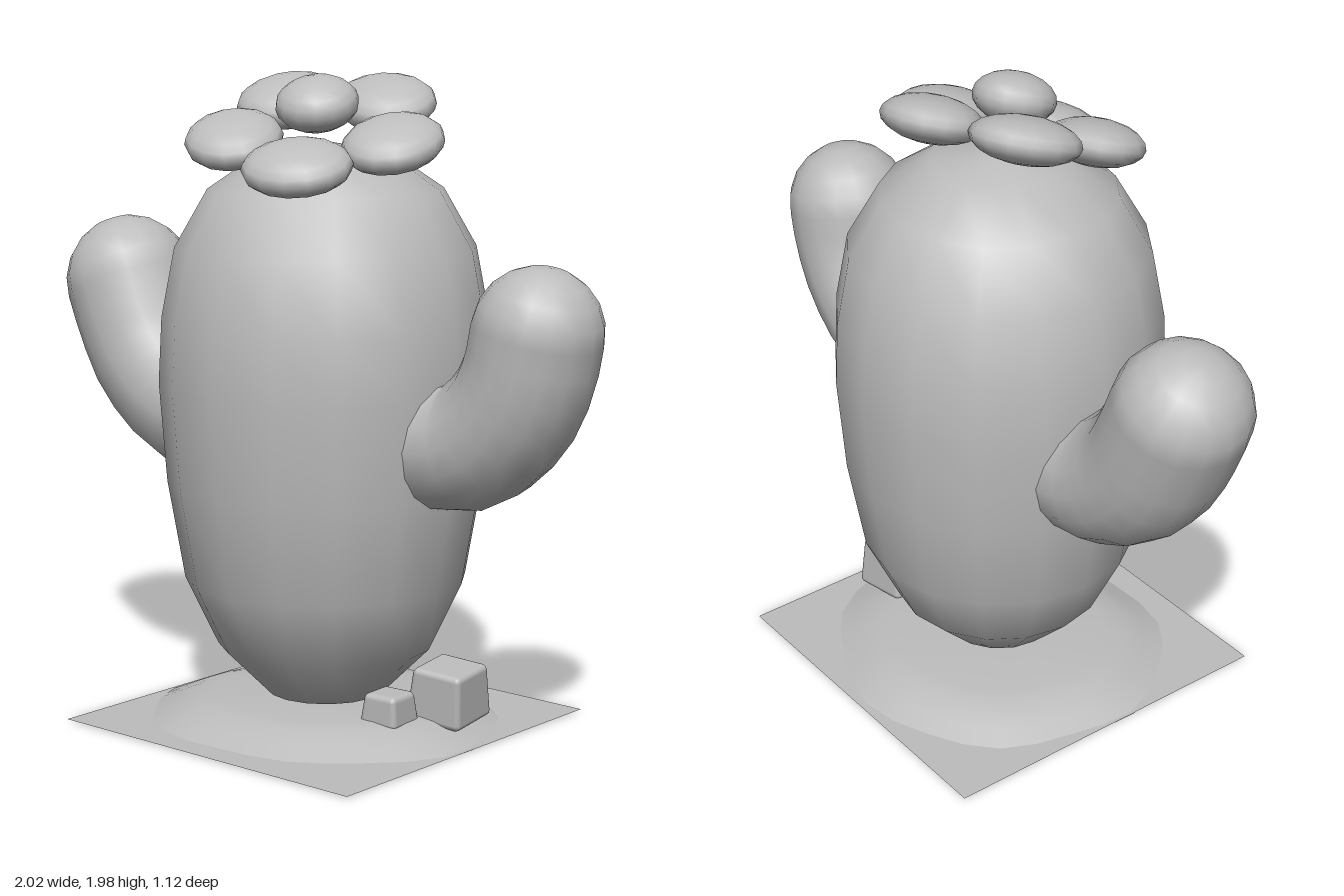
import * as THREE from 'three';
import { toCreasedNormals } from 'three/addons/utils/BufferGeometryUtils.js';
import { RoundedBoxGeometry } from 'three/addons/geometries/RoundedBoxGeometry.js';

const clay = new THREE.MeshStandardMaterial({ color: 0xbcbcbc });
clay.name = 'grey clay';
const clayTwoSided = clay.clone();
clayTwoSided.side = THREE.DoubleSide;

function addMesh(parent, name, geometry, material = clay) {
  const mesh = new THREE.Mesh(geometry, material);
  mesh.name = name;
  parent.add(mesh);
  return mesh;
}

const profile = (pairs) => pairs.map(([x, y]) => new THREE.Vector2(x, y));

// Capsule bent along a centreline in the xy plane
function bentCapsule(points, radius) {
  const curve = new THREE.CatmullRomCurve3(points.map(([x, y]) => new THREE.Vector3(x, y, 0)));
  const length = curve.getLength();
  const geometry = new THREE.CapsuleGeometry(radius, length, 5, 16, 8);
  const pos = geometry.attributes.position;
  const nor = geometry.attributes.normal;
  const v = new THREE.Vector3();
  const n = new THREE.Vector3();
  const front = new THREE.Vector3(0, 0, 1);
  for (let i = 0; i < pos.count; i++) {
    v.fromBufferAttribute(pos, i);
    n.fromBufferAttribute(nor, i);
    const s = THREE.MathUtils.clamp(v.y + length / 2, 0, length);
    const overshoot = v.y + length / 2 - s;
    const tangent = curve.getTangentAt(s / length);
    const side = tangent.clone().cross(front);
    const p = curve.getPointAt(s / length)
      .addScaledVector(side, v.x).addScaledVector(tangent, overshoot).addScaledVector(front, v.z);
    const q = side.multiplyScalar(n.x).addScaledVector(tangent, n.y).addScaledVector(front, n.z);
    pos.setXYZ(i, p.x, p.y, p.z);
    nor.setXYZ(i, q.x, q.y, q.z);
  }
  return geometry;
}

// Rounded block that narrows towards the top
function rock(width, height, depth, taper) {
  const geometry = new RoundedBoxGeometry(width, height, depth, 2, 0.018);
  const pos = geometry.attributes.position;
  for (let i = 0; i < pos.count; i++) {
    const k = 1 - taper * (pos.getY(i) / height + 0.5);
    pos.setX(i, pos.getX(i) * k);
    pos.setZ(i, pos.getZ(i) * k);
  }
  return geometry;
}

// Low mound with an uneven rim
function moundGeometry() {
  const geometry = new THREE.LatheGeometry(profile([
    [0, 0], [0.56, 0], [0.49, 0.03], [0.42, 0.06], [0.35, 0.07], [0, 0.073],
  ]), 28);
  const pos = geometry.attributes.position;
  for (let i = 0; i < pos.count; i++) {
    const x = pos.getX(i);
    const z = pos.getZ(i);
    const a = Math.atan2(z, x);
    const k = 1 + 0.025 * Math.sin(3 * a + 1) + 0.018 * Math.sin(7 * a);
    pos.setX(i, x * k);
    pos.setZ(i, z * k * 0.92);
  }
  return toCreasedNormals(geometry, 0.7);
}

export function createModel() {
  const model = new THREE.Group();
  model.name = 'cactus';

  // Ground sheet and mound
  const ground = addMesh(model, 'groundSheet', new THREE.PlaneGeometry(1.13, 1.125), clayTwoSided);
  ground.rotation.x = -Math.PI / 2;
  ground.position.set(0.02, 0.004, -0.003);
  addMesh(model, 'mound', moundGeometry()).position.set(0.007, 0, -0.02);

  // Trunk
  const trunk = addMesh(model, 'trunk', new THREE.LatheGeometry(profile([
    [0, 0.06], [0.18, 0.09], [0.33, 0.24], [0.43, 0.45], [0.482, 0.75], [0.505, 1.05],
    [0.495, 1.25], [0.455, 1.46], [0.355, 1.635], [0.2, 1.74], [0, 1.775],
  ]), 16));
  trunk.position.x = 0.022;

  // Arms
  addMesh(model, 'rightArm', bentCapsule(
    [[-0.34, 0.9], [-0.52, 0.925], [-0.685, 1.05], [-0.77, 1.2], [-0.81, 1.295]], 0.207));
  addMesh(model, 'leftArm', bentCapsule(
    [[0.42, 0.91], [0.585, 0.925], [0.72, 1.035], [0.785, 1.16], [0.81, 1.27]], 0.193));

  // Flower, tilted forward
  const flower = new THREE.Group();
  flower.name = 'flower';
  flower.position.set(0.05, 1.812, 0.06);
  flower.quaternion.setFromUnitVectors(
    new THREE.Vector3(0, 1, 0), new THREE.Vector3(0.17, 1, 0.35).normalize());
  model.add(flower);
  const ball = new THREE.SphereGeometry(1, 14, 10);
  for (let i = 0; i < 5; i++) {
    const a = THREE.MathUtils.degToRad(-7 + 72 * i);
    const petal = addMesh(flower, 'petal', ball);
    petal.scale.set(0.148, 0.07, 0.165);
    petal.position.set(0.255 * Math.cos(a), 0, 0.255 * Math.sin(a));
    petal.rotation.y = -a;
  }
  const heart = addMesh(flower, 'flowerCentre', ball);
  heart.scale.set(0.125, 0.078, 0.125);
  heart.position.y = 0.085;

  // Stones beside the trunk
  const large = addMesh(model, 'largeStone', rock(0.19, 0.165, 0.2, 0.14));
  large.position.set(0.42, 0.13, -0.11);
  large.rotation.set(0.06, 0.12, -0.08);
  const small = addMesh(model, 'smallStone', rock(0.135, 0.1, 0.135, 0.18));
  small.position.set(0.33, 0.1, 0.065);
  small.rotation.y = 0.06;

  return model;
}
